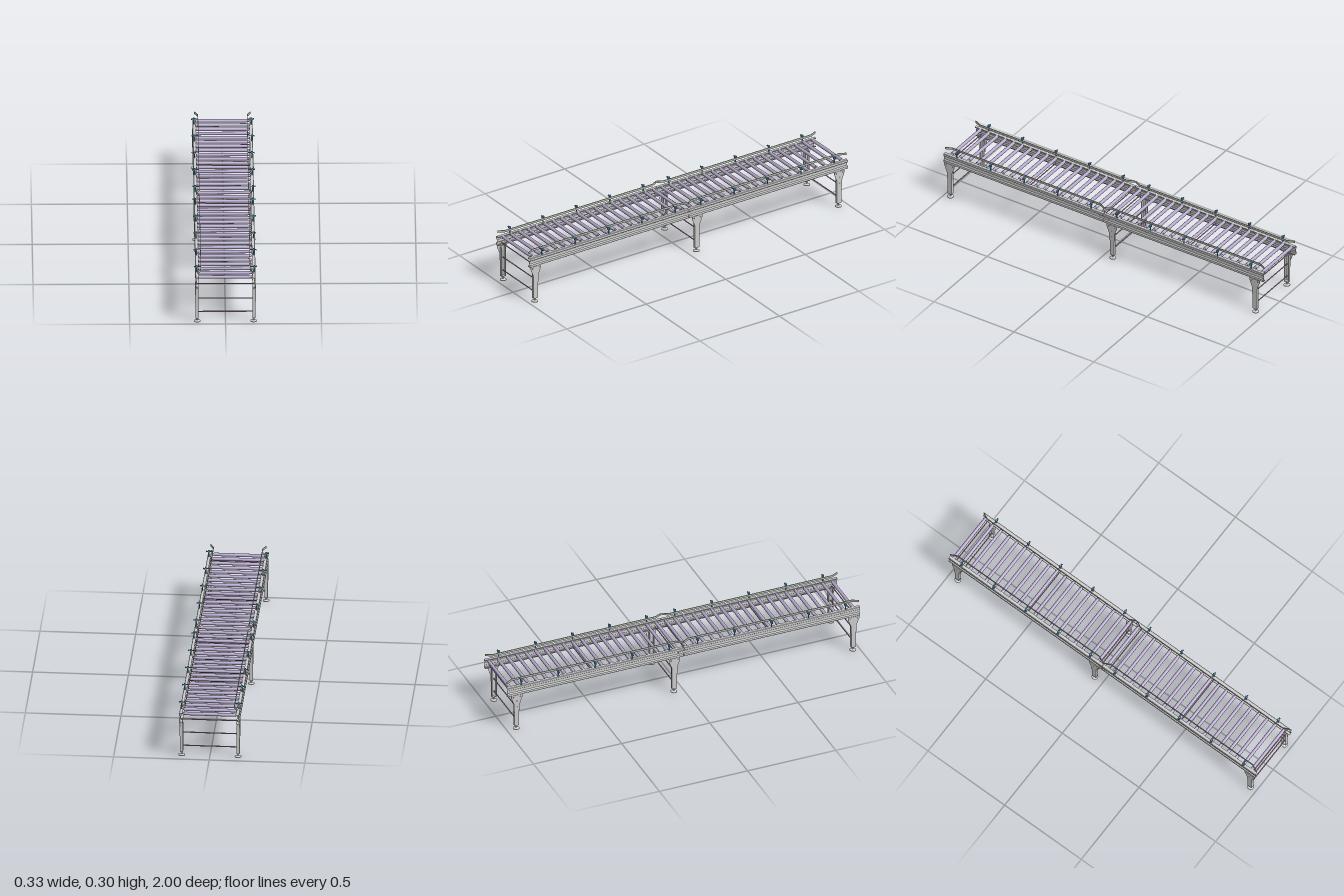
import * as THREE from 'three';

const mat = (color) => new THREE.MeshStandardMaterial({ color, side: THREE.DoubleSide });

export function createModel() {
  const root = new THREE.Group();
  root.name = 'rollerConveyor';
  const grey = mat(0xcccccc);
  const purple = mat(0xb5a8cc);
  const rodMat = mat(0xb593a8);
  const blue = mat(0x5b9fbd);
  const green = mat(0xb4bcaa);

  const add = (name, geo, material, x = 0, y = 0, z = 0, parent = root) => {
    const m = new THREE.Mesh(geo, material);
    m.name = name;
    m.position.set(x, y, z);
    parent.add(m);
    return m;
  };
  const poly = (pts) => new THREE.Shape(pts.map((p) => new THREE.Vector2(p[0], p[1])));
  const extrude = (shape, depth) => new THREE.ExtrudeGeometry(shape, { depth, bevelEnabled: false });
  const cylX = (r, len, n = 16) => new THREE.CylinderGeometry(r, r, len, n).rotateZ(Math.PI / 2);

  // Turn an open path into a thin closed strip
  const strip = (path, t) => {
    const v = path.map((p) => new THREE.Vector2(p[0], p[1]));
    const off = v.map((p, i) => {
      const a = v[Math.max(i - 1, 0)], b = v[Math.min(i + 1, v.length - 1)];
      const d1 = (i ? p.clone().sub(a) : b.clone().sub(p)).normalize();
      const d2 = (i < v.length - 1 ? b.clone().sub(p) : p.clone().sub(a)).normalize();
      const n = new THREE.Vector2(-d1.y - d2.y, d1.x + d2.x).normalize();
      return p.clone().addScaledVector(n, t / Math.max(0.4, n.x * -d1.y + n.y * d1.x));
    });
    return new THREE.Shape([...v, ...off.reverse()]);
  };

  // Grooved side channel: lips, flanges and an indented web
  const railPath = [
    [0.140, 0.257], [0.140, 0.263], [0.155, 0.263], [0.157, 0.261], [0.157, 0.249], [0.151, 0.244],
    [0.151, 0.229], [0.157, 0.224], [0.157, 0.212], [0.155, 0.210], [0.140, 0.210], [0.140, 0.216],
  ];
  const legZ = [0.963, -0.053, -0.947];
  const postZ = [0.92, 0.71, 0.5, 0.29, 0.08];

  // Foot profile: disc, swivel boss, nut and threaded stem
  const footGeo = new THREE.LatheGeometry([
    [0, 0], [0.0175, 0], [0.0175, 0.003], [0.008, 0.007], [0.005, 0.008], [0.005, 0.012],
    [0.003, 0.013], [0.003, 0.018], [0.006, 0.018], [0.006, 0.022], [0, 0.022],
  ].map((p) => new THREE.Vector2(p[0], p[1])), 20).toNonIndexed();
  footGeo.computeVertexNormals();

  // Tapered mounting plate of a leg, drawn in z and y
  const plate = poly([
    [-0.032, 0.211], [-0.032, 0.198], [-0.016, 0.155], [-0.016, 0.115],
    [0.016, 0.115], [0.016, 0.155], [0.032, 0.198], [0.032, 0.211],
  ]);
  for (const [z, y] of [[-0.02, 0.2], [0.02, 0.2], [0, 0.175], [0, 0.14]]) {
    plate.holes.push(new THREE.Path().absarc(z, y, 0.0022, 0, Math.PI * 2, true));
  }

  for (const s of [1, -1]) {
    const side = new THREE.Group();
    side.name = s > 0 ? 'leftSide' : 'rightSide';
    root.add(side);
    const mirror = (path) => path.map(([x, y]) => [s * x, y]);

    for (const z0 of [-1, 0.001]) {
      add('sideRail', extrude(strip(mirror(railPath), -s * 0.0015), 0.999), grey, 0, 0, z0, side);
      // Guide bar with both ends flared outwards
      const a = z0 + 0.002, b = z0 + 0.997;
      const bar = [[0.147, a], [0.130, a + 0.035], [0.130, b - 0.035], [0.147, b]];
      add('guideRail', extrude(strip(mirror(bar), s * 0.003), 0.012).rotateX(Math.PI / 2),
        green, 0, 0.299, 0, side);
    }
    // Splice plate where the two rail sections meet
    add('splicePlate', new THREE.BoxGeometry(0.002, 0.014, 0.06), grey, s * 0.152, 0.2365, 0, side);

    for (const z of [...postZ, ...postZ.map((p) => -p)]) {
      const post = new THREE.Group();
      post.name = 'guidePost';
      post.position.z = z;
      side.add(post);
      add('post', new THREE.CylinderGeometry(0.0035, 0.0035, 0.05, 12), blue, s * 0.150, 0.274, 0, post);
      add('clampHead', new THREE.BoxGeometry(0.009, 0.01, 0.012), blue, s * 0.150, 0.293, 0, post);
      add('clampRod', cylX(0.0025, 0.032, 10), blue, s * 0.146, 0.293, 0, post);
      add('clampKnob', cylX(0.004, 0.004, 10), blue, s * 0.162, 0.293, 0, post);
    }

    for (const z of legZ) {
      const leg = new THREE.Group();
      leg.name = 'leg';
      leg.position.z = z;
      side.add(leg);
      // Open channel: web plus two flanges chamfered at the top
      add('legWeb', new THREE.BoxGeometry(0.0015, 0.173, 0.026), grey, s * 0.1555, 0.1085, 0, leg);
      const flange = poly(mirror([
        [0.156, 0.022], [0.140, 0.022], [0.140, 0.182], [0.146, 0.195], [0.156, 0.195],
      ]));
      for (const f of [-0.013, 0.0115]) add('legFlange', extrude(flange, 0.0015), grey, 0, 0, f, leg);
      add('legBase', new THREE.BoxGeometry(0.016, 0.003, 0.026), grey, s * 0.148, 0.0235, 0, leg);
      add('mountingPlate', extrude(plate, 0.0015).rotateY(-Math.PI / 2), grey,
        s * 0.157 + 0.00075, 0, 0, leg);
      add('mountingFlange', new THREE.BoxGeometry(0.017, 0.002, 0.064), grey, s * 0.149, 0.209, 0, leg);
      add('foot', footGeo, grey, s * 0.147, 0, 0, leg);
    }
  }

  // Rods tying each pair of legs together
  for (const z of legZ) {
    for (const y of [0.056, 0.132]) add('legCrossRod', cylX(0.003, 0.296, 12), rodMat, 0, y, z);
  }
  // Rods between the side rails
  for (const z of [0.97, 0.5, 0.03, -0.03, -0.5, -0.97]) {
    add('frameCrossRod', cylX(0.003, 0.3, 12), rodMat, 0, 0.218, z);
  }

  // Rollers: tube, narrower drive hub and axle
  const tube = cylX(0.009, 0.265, 20), hub = cylX(0.0075, 0.013, 20), axle = cylX(0.0025, 0.304, 8);
  for (let i = 0; i < 38; i++) {
    const roller = new THREE.Group();
    roller.name = 'roller';
    roller.position.set(0, 0.255, -0.98 + i / 19);
    root.add(roller);
    add('rollerTube', tube, purple, -0.0075, 0, 0, roller);
    add('rollerHub', hub, purple, 0.1315, 0, 0, roller);
    add('rollerAxle', axle, grey, 0, 0, 0, roller);
  }
  return root;
}
